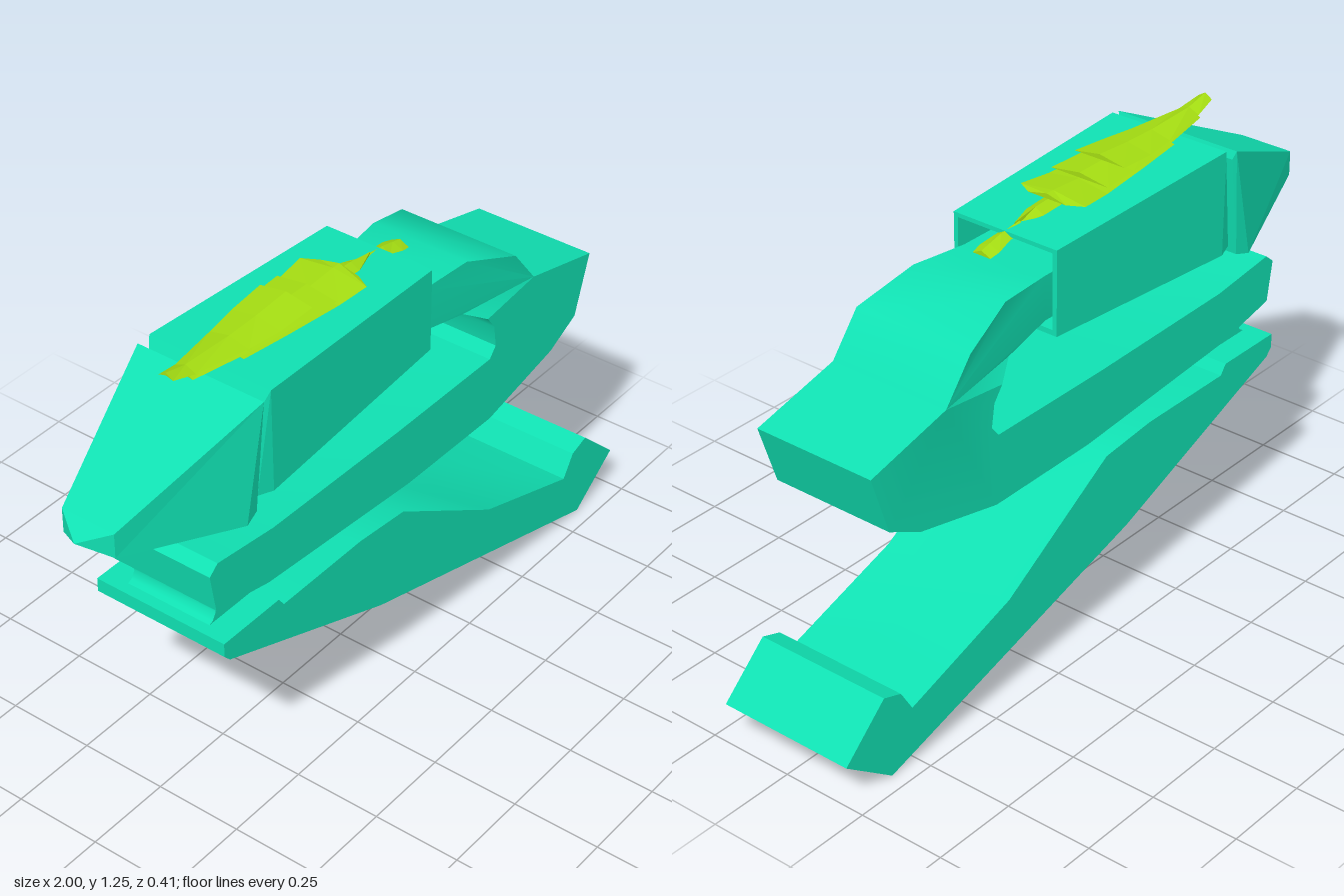
import * as THREE from 'three';
import { toCreasedNormals } from 'three/addons/utils/BufferGeometryUtils.js';

const teal = new THREE.MeshStandardMaterial({ color: 0x10e0b2 });
const lime = new THREE.MeshStandardMaterial({ color: 0xa4dc12, side: THREE.DoubleSide });

// Side profile in x-y, extruded symmetrically across z; halfWidth may vary per point
function slab(points, halfWidth) {
  const shape = new THREE.Shape(points.map(([x, y]) => new THREE.Vector2(x, y)));
  const geo = new THREE.ExtrudeGeometry(shape, { depth: 2, bevelEnabled: false, curveSegments: 1 });
  geo.translate(0, 0, -1);
  const p = geo.attributes.position;
  for (let i = 0; i < p.count; i++) {
    const h = typeof halfWidth === 'function' ? halfWidth(p.getX(i), p.getY(i)) : halfWidth;
    p.setZ(i, p.getZ(i) * h);
  }
  return toCreasedNormals(geo, 0.65);
}

// Joins four-cornered rings along x, with both ends capped
function loft(rings) {
  const out = [];
  const quad = (a, b, c, d) => [a, b, c, a, c, d].forEach((v) => out.push(...v));
  rings.forEach((r, i) => {
    const next = rings[i + 1];
    if (!next) return;
    for (let k = 0; k < 4; k++) {
      const j = (k + 1) % 4;
      quad(r[k], next[k], next[j], r[j]);
    }
  });
  const first = rings[0], last = rings[rings.length - 1];
  quad(first[0], first[1], first[2], first[3]);
  quad(last[3], last[2], last[1], last[0]);
  const geo = new THREE.BufferGeometry();
  geo.setAttribute('position', new THREE.Float32BufferAttribute(out, 3));
  geo.computeVertexNormals();
  return geo;
}

// Rectangular ring: x at bottom and top, y at bottom and top, half width
const ring = ([xb, xt, y0, y1, h]) => [[xb, y0, -h], [xb, y0, h], [xt, y1, h], [xt, y1, -h]];

// Thin plate with a raised centre ridge; stations are [x, y, half width]
function blade(stations, crown = 0.014, thick = 0.008) {
  return loft(stations.map(([x, y, h]) => [
    [x, y - thick, 0], [x, y - crown, h], [x, y, 0], [x, y - crown, -h],
  ]));
}

export function createModel() {
  const model = new THREE.Group();
  const add = (name, geo, mat = teal, parent = model) => {
    const mesh = new THREE.Mesh(geo, mat);
    mesh.name = name;
    parent.add(mesh);
    return mesh;
  };

  // Sloping base with an upturned heel
  add('base', slab([
    [-0.72, 0.57], [-0.72, 0.53], [-0.7, 0.508], [-0.09, 0.272], [0.84, 0.004], [1, 0.122],
    [0.86, 0.25], [0.8, 0.23], [0.76, 0.165], [0.39, 0.287], [0, 0.525], [-0.18, 0.543],
    [-0.49, 0.543], [-0.51, 0.57],
  ], 0.203));

  // Waisted joint between base and body
  add('joint', slab([
    [-0.7, 0.565], [-0.53, 0.56], [-0.53, 0.595], [-0.51, 0.62], [-0.48, 0.65], [-0.72, 0.675],
    [-0.685, 0.655], [-0.665, 0.63], [-0.663, 0.595], [-0.675, 0.575],
  ], 0.13));

  // Hook-shaped body; its upper arm narrows where it enters the housing
  add('hookBody', slab([
    [-0.74, 0.78], [-0.72, 0.665], [-0.52, 0.622], [0.05, 0.576], [0.41, 0.573], [0.69, 0.635],
    [0.8, 0.69], [0.857, 0.862], [0.59, 0.928], [0.5, 1.04], [0.33, 1.097], [0.16, 1.09],
    [-0.2, 1.09], [-0.2, 0.965], [0.16, 0.965], [0.32, 0.942], [0.385, 0.905], [0.415, 0.865],
    [0.425, 0.8], [0.4, 0.77], [0, 0.77], [-0.5, 0.78], [-0.71, 0.805],
  ], (x, y) => (y < 0.93 || x > 0.45 ? 0.182 : x > 0.2 ? 0.148 : 0.13)));

  // Housing, hollow towards the back end
  add('housing', loft([
    [-0.545, -0.525, 0.9, 1.15, 0.172],
    [-0.5, -0.505, 0.895, 1.193, 0.186],
    [0.157, 0.157, 0.93, 1.17, 0.165],
    [0.157, 0.157, 0.945, 1.158, 0.152],
    [-0.15, -0.15, 0.945, 1.158, 0.152],
  ].map(ring)));

  // Neck closing the gap between head and housing
  add('neck', new THREE.BoxGeometry(0.06, 0.22, 0.32).translate(-0.55, 1.02, 0));

  // Wedge head with a pyramid tip
  add('head', loft([
    [-0.95, -0.95, 0.925, 0.995, 0.08],
    [-0.61, -0.54, 0.86, 1.183, 0.193],
    [-0.565, -0.532, 0.872, 1.16, 0.185],
  ].map(ring)));
  add('tip', loft([
    [-1, -1, 0.96, 0.96, 0],
    [-0.95, -0.95, 0.925, 0.995, 0.08],
  ].map(ring)));

  // Layered crest on top
  const crest = new THREE.Group();
  crest.name = 'crest';
  model.add(crest);
  [
    ['upperPlate', [[-0.66, 1.25, 0.022], [-0.59, 1.234, 0.032], [-0.43, 1.228, 0.06], [-0.33, 1.23, 0.075], [-0.215, 1.238, 0.08]]],
    ['middlePlate', [[-0.6, 1.222, 0.03], [-0.43, 1.22, 0.062], [-0.25, 1.218, 0.085], [-0.135, 1.217, 0.092]]],
    ['lowerPlate', [[-0.45, 1.21, 0.06], [-0.3, 1.207, 0.078], [-0.13, 1.203, 0.094], [-0.03, 1.209, 0.104], [-0.005, 1.209, 0.06]]],
    ['spine', [[-0.1, 1.197, 0.03], [0.04, 1.189, 0.028], [0.12, 1.177, 0.002]]],
    ['tail', [[0.1, 1.176, 0.02], [0.17, 1.168, 0.025], [0.215, 1.158, 0.032], [0.245, 1.151, 0.028]]],
  ].forEach(([name, stations]) => add(name, blade(stations), lime, crest));

  return model;
}
